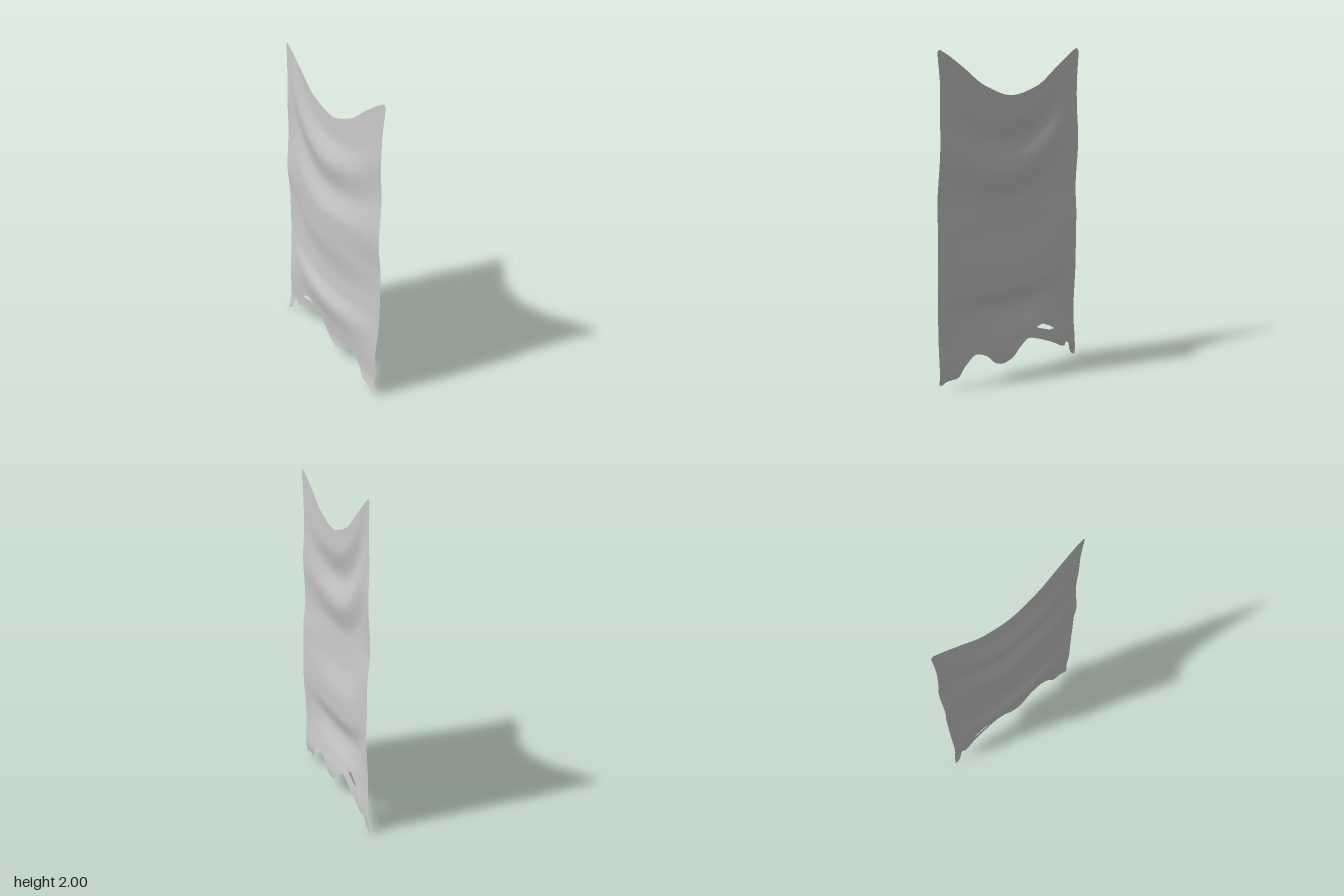
import * as THREE from 'three';
import { mergeGeometries, mergeVertices } from 'three/addons/utils/BufferGeometryUtils.js';

// Smooth function through [input, value] keys, without overshoot, clamped at the ends
function through(keys) {
  const n = keys.length;
  const slope = keys.slice(1).map((k, i) => (k[1] - keys[i][1]) / (k[0] - keys[i][0]));
  const tangent = keys.map((k, i) => {
    if (i === 0 || i === n - 1) return 0;
    const a = slope[i - 1], b = slope[i];
    return a * b <= 0 ? 0 : (2 * a * b) / (a + b);
  });
  return (t) => {
    if (t <= keys[0][0]) return keys[0][1];
    if (t >= keys[n - 1][0]) return keys[n - 1][1];
    let i = 0;
    while (t > keys[i + 1][0]) i++;
    const h = keys[i + 1][0] - keys[i][0], s = (t - keys[i][0]) / h;
    const s2 = s * s, s3 = s2 * s;
    return (2 * s3 - 3 * s2 + 1) * keys[i][1] + (s3 - 2 * s2 + s) * h * tangent[i]
      + (3 * s2 - 2 * s3) * keys[i + 1][1] + (s3 - s2) * h * tangent[i + 1];
  };
}

// Outline: u runs from -1 (edge at -z) to 1 (edge at +z)
const topEdge = through([[-1, 1.985], [-0.97, 2], [-0.94, 1.993], [-0.68, 1.895], [-0.36, 1.78], [0, 1.735],
  [0.39, 1.797], [0.71, 1.915], [0.93, 1.99], [0.98, 2], [1, 1.99]]);
const hem = through([[-1, 0.005], [-0.985, 0], [-0.94, 0.014], [-0.912, 0.04], [-0.893, 0.093], [-0.855, 0.107],
  [-0.825, 0.08], [-0.65, 0.125], [-0.413, 0.178], [-0.27, 0.197], [-0.135, 0.156], [0, 0.092], [0.127, 0.074],
  [0.22, 0.087], [0.373, 0.156], [0.504, 0.178], [0.663, 0.12], [0.76, 0.055], [0.885, 0.053], [0.98, 0.035], [1, 0.042]]);
const widthPlus = through([[0, 0.522], [0.3, 0.523], [0.6, 0.53], [1, 0.52], [1.4, 0.5], [1.6, 0.492], [1.8, 0.489], [2, 0.503]]);
const widthMinus = through([[0, 0.526], [0.03, 0.525], [0.1, 0.515], [0.25, 0.505], [0.5, 0.502], [1, 0.502],
  [1.4, 0.505], [1.8, 0.49], [2, 0.497]]);

// Seam through the tear, and how far its lips open
const seam = through([[-1, 0.219], [-0.683, 0.221], [-0.404, 0.257], [1, 0.262]]);
const lipUp = through([[-0.683, 0], [-0.6, 0.017], [-0.5, 0.02], [-0.404, 0]]);
const lipDown = through([[-0.683, 0], [-0.6, 0.01], [-0.5, 0.012], [-0.43, 0.01], [-0.404, 0]]);

// Depth of the folds down the middle and along the side edges
const middleFold = through([[0, 0], [0.12, 0.012], [0.25, 0], [0.43, -0.03], [0.56, -0.002], [0.68, 0.002], [0.9, -0.022],
  [1.1, -0.028], [1.29, 0.004], [1.45, -0.018], [1.62, 0.012], [2, 0.016]]);
const edgeFold = through([[0, -0.003], [0.12, 0.01], [0.3, 0.003], [0.65, 0.018], [0.95, 0.018], [1.15, 0.004],
  [1.45, 0.02], [1.65, 0.013], [2, 0.018]]);

function clothPoint(u, y) {
  const z = u * (u > 0 ? widthPlus(y) : widthMinus(y));
  // Folds hang in swags, rising toward the sides
  const swag = (z < 0 ? 1.1 : 0.4) * y * z * z;
  const middle = Math.pow(Math.max(0, 1 - u * u), 1.2) * (1 - 0.2 * u);
  const x = THREE.MathUtils.lerp(edgeFold(y), middleFold(y - swag), Math.min(1, middle));
  return [x, y, z];
}

// Grid of cloth between two heights given as functions of u
function clothPanel(low, high, rows, columns = 200) {
  const positions = [], indices = [];
  for (let r = 0; r <= rows; r++) {
    for (let c = 0; c <= columns; c++) {
      const u = (2 * c) / columns - 1;
      positions.push(...clothPoint(u, THREE.MathUtils.lerp(low(u), high(u), r / rows)));
    }
  }
  for (let r = 0; r < rows; r++) {
    for (let c = 0; c < columns; c++) {
      const a = r * (columns + 1) + c, b = a + 1, d = a + columns + 1, e = d + 1;
      indices.push(a, d, b, b, d, e);
    }
  }
  const geometry = new THREE.BufferGeometry();
  geometry.setAttribute('position', new THREE.Float32BufferAttribute(positions, 3));
  geometry.setIndex(indices);
  return geometry;
}

export function createModel() {
  const group = new THREE.Group();
  group.name = 'hangingCloth';

  // Upper and lower panels are welded along the seam, leaving the tear open
  const upper = clothPanel((u) => seam(u) + lipUp(u), topEdge, 110);
  const lower = clothPanel(hem, (u) => seam(u) - lipDown(u), 16);
  const geometry = mergeVertices(mergeGeometries([upper, lower]), 1e-5);
  geometry.computeVertexNormals();

  const material = new THREE.MeshStandardMaterial({ color: 0xcccccc, side: THREE.DoubleSide });
  const cloth = new THREE.Mesh(geometry, material);
  cloth.name = 'cloth';
  group.add(cloth);
  return group;
}
